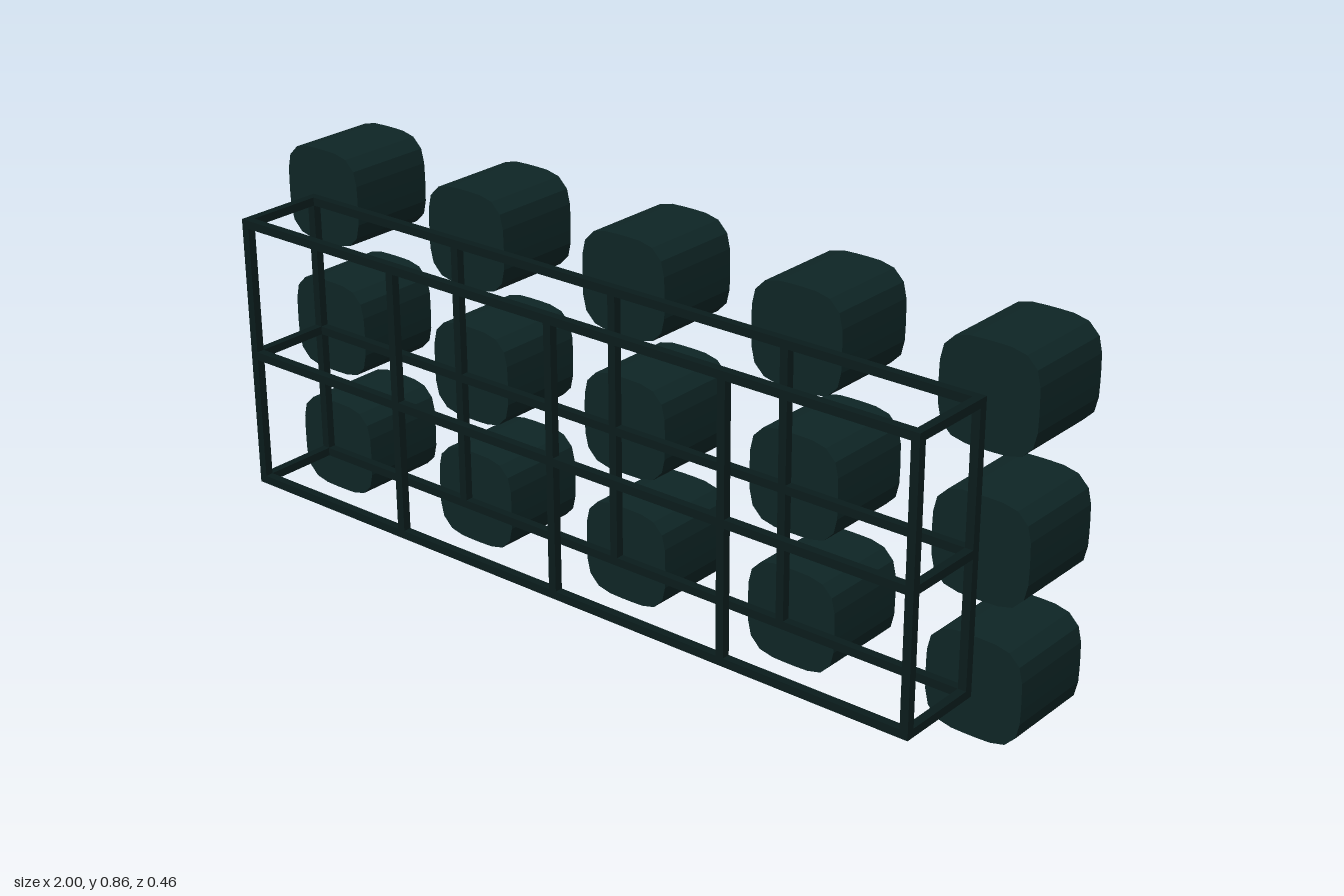
import * as THREE from 'three';

const body = new THREE.MeshStandardMaterial({ color: 0x0e2525 });
body.name = 'dark teal housing';
const metal = new THREE.MeshStandardMaterial({ color: 0x0a1c1c });
metal.name = 'dark frame';
const lens = new THREE.MeshStandardMaterial({ color: 0xb2b2b2 });
lens.name = 'pale grey lens';

const COLUMNS = [-0.887, -0.4435, 0, 0.4435, 0.887];
const ROWS = [0.1235, 0.43, 0.742];
const MID_Y = 0.43;
const BAR = 0.019;

// Rounded square outline with gently bulging sides
function softSquare(half, power, count) {
  const points = [];
  for (let i = 0; i < count; i++) {
    const a = ((i + 0.5) / count) * Math.PI * 2;
    const c = Math.cos(a), s = Math.sin(a);
    const r = half / Math.pow(Math.abs(c) ** power + Math.abs(s) ** power, 1 / power);
    points.push(new THREE.Vector2(r * c, r * s));
  }
  return points;
}

function extrude(shape, depth, z) {
  const g = new THREE.ExtrudeGeometry(shape, { depth, bevelEnabled: false });
  g.translate(0, 0, z);
  return g;
}

// Lamp: solid front block, hollow rear rim and a recessed lens facing -z
const outline = softSquare(0.1105, 3.8, 24);
const rimShape = new THREE.Shape(outline);
rimShape.holes.push(new THREE.Path(softSquare(0.074, 6, 24)));
const RECESS = 0.018, BACK = -0.226, FRONT = -0.011;
const rimGeo = extrude(rimShape, RECESS, BACK);
const blockGeo = extrude(new THREE.Shape(outline), FRONT - BACK - RECESS, BACK + RECESS);
const lensGeo = new THREE.BoxGeometry(0.138, 0.138, 0.008);
lensGeo.translate(0, 0, BACK + RECESS - 0.004);

function add(parent, name, geometry, material) {
  const mesh = new THREE.Mesh(geometry, material);
  mesh.name = name;
  parent.add(mesh);
  return mesh;
}

function makeLamp(x, y) {
  const lamp = new THREE.Group();
  lamp.name = 'lamp';
  add(lamp, 'lampBlock', blockGeo, body);
  add(lamp, 'lampRim', rimGeo, body);
  add(lamp, 'lampLens', lensGeo, lens);
  lamp.position.set(x, y, 0);
  return lamp;
}

// Open box frame: two grids joined by short bars at both ends
function makeFrame() {
  const frame = new THREE.Group();
  frame.name = 'frame';
  const zBack = 0.0185, zFront = 0.2155;
  const width = COLUMNS[4] - COLUMNS[0], height = ROWS[2] - ROWS[0];
  const rail = new THREE.BoxGeometry(width + BAR, BAR, BAR);
  const post = new THREE.BoxGeometry(BAR, height + BAR, BAR);
  const link = new THREE.BoxGeometry(BAR, BAR, zFront - zBack);
  for (const z of [zBack, zFront]) {
    for (const y of ROWS) add(frame, 'rail', rail, metal).position.set(0, y, z);
    for (const x of COLUMNS) add(frame, 'post', post, metal).position.set(x, (ROWS[0] + ROWS[2]) / 2, z);
  }
  for (const x of [COLUMNS[0], COLUMNS[4]])
    for (const y of ROWS) add(frame, 'endLink', link, metal).position.set(x, y, (zBack + zFront) / 2);
  return frame;
}

export function createModel() {
  const model = new THREE.Group();
  model.name = 'lampRack';
  // The whole rack leans a touch
  const rack = new THREE.Group();
  rack.name = 'rack';
  rack.position.y = MID_Y;
  rack.rotation.set(0, -0.004, 0.0125);
  model.add(rack);

  const contents = new THREE.Group();
  contents.name = 'rackContents';
  contents.position.y = -MID_Y;
  rack.add(contents);
  contents.add(makeFrame());
  for (const y of ROWS) for (const x of COLUMNS) contents.add(makeLamp(x, y === ROWS[1] ? y - 0.004 : y));
  return model;
}
